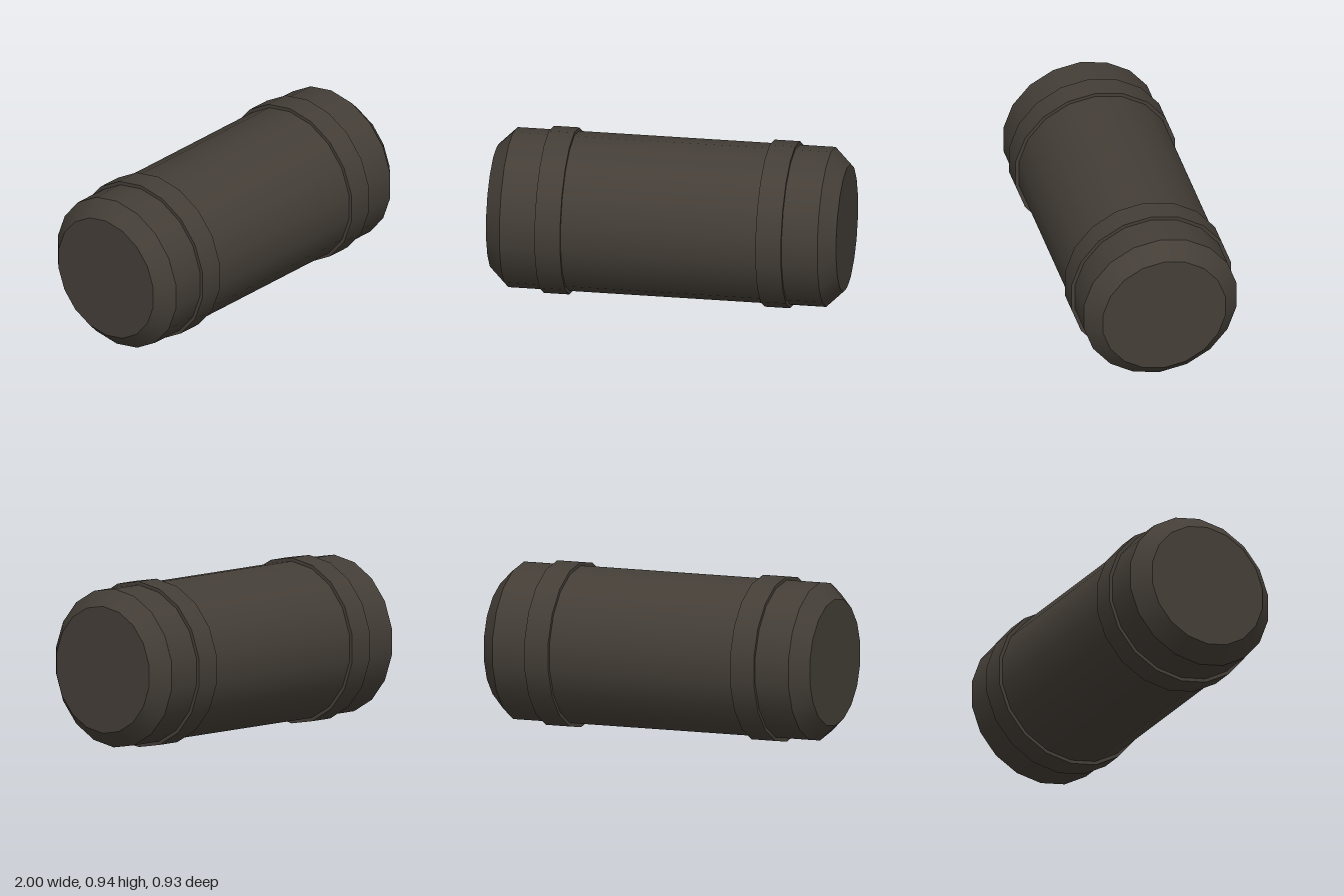
import * as THREE from 'three';

const SIDES = 18;
const CENTRE_Y = 0.471;
const BODY_R = 0.451, END_R = 0.361, BAND_R = 0.471;

export function createModel() {
  const group = new THREE.Group();
  group.name = 'barrel';
  const darkBrown = new THREE.MeshStandardMaterial({ color: 0x443e37 });
  darkBrown.name = 'darkBrown';

  // Smooth section lying along x, from x0 to x1, with a corner pointing straight up
  function section(name, x0, r0, x1, r1, open) {
    const geo = new THREE.CylinderGeometry(r1, r0, x1 - x0, SIDES, 1, open, Math.PI / 2);
    geo.rotateZ(-Math.PI / 2);
    const mesh = new THREE.Mesh(geo, darkBrown);
    mesh.name = name;
    mesh.position.set((x0 + x1) / 2, CENTRE_Y, 0);
    group.add(mesh);
  }

  // Flat disc closing one end
  function endCap(name, side) {
    const geo = new THREE.CircleGeometry(END_R, SIDES, Math.PI / 2);
    geo.rotateY(side * Math.PI / 2);
    const mesh = new THREE.Mesh(geo, darkBrown);
    mesh.name = name;
    mesh.position.set(side, CENTRE_Y, 0);
    group.add(mesh);
  }

  // Main drum
  section('body', -0.908, BODY_R, 0.908, BODY_R, true);

  // Chamfered ends with their flat discs
  section('leftChamfer', 0.908, BODY_R, 1, END_R, true);
  section('rightChamfer', -1, END_R, -0.908, BODY_R, true);
  endCap('leftEnd', 1);
  endCap('rightEnd', -1);

  // Raised hoops
  section('leftBand', 0.558, BAND_R, 0.704, BAND_R, false);
  section('rightBand', -0.704, BAND_R, -0.558, BAND_R, false);

  return group;
}
